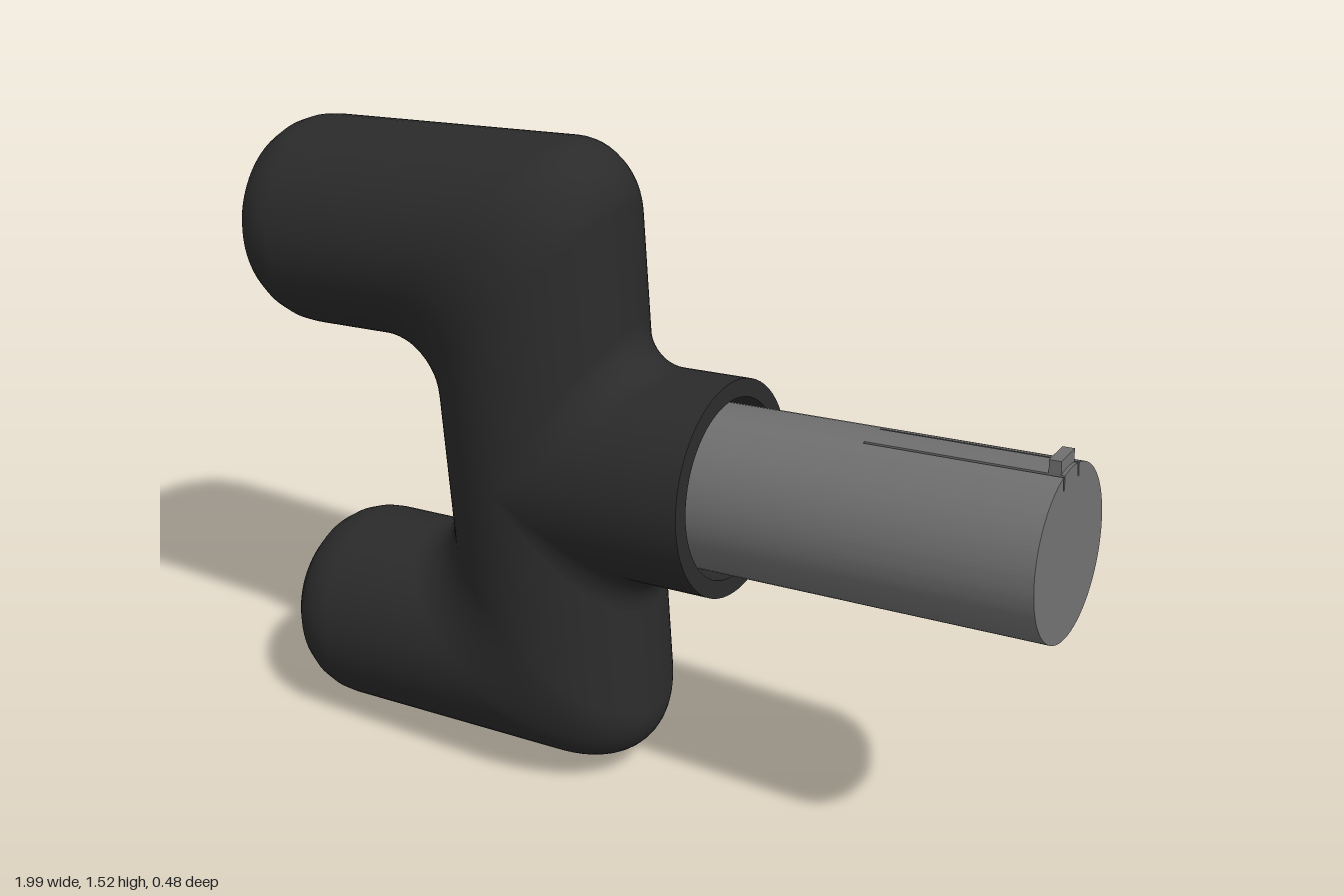
import * as THREE from 'three';

const R = 0.24;        // handle tube radius
const ARM = 0.495;     // arm offset from the shaft axis
const TILT = 0.075;    // lean of the whole tool
const SEG = 64;

// Skin a list of rings (each SEG points [x, y, z]) with smooth normals.
function loft(rings) {
  const index = [];
  for (let i = 0; i < rings.length - 1; i++) {
    for (let j = 0; j < SEG; j++) {
      const k = (j + 1) % SEG;
      const a = i * SEG + j, b = i * SEG + k, c = a + SEG, d = b + SEG;
      index.push(a, b, c, b, d, c);
    }
  }
  const geo = new THREE.BufferGeometry();
  geo.setAttribute('position', new THREE.Float32BufferAttribute(rings.flat(2), 3));
  geo.setIndex(index);
  geo.computeVertexNormals();
  return geo;
}

const makeRing = (f) => Array.from({ length: SEG }, (_, j) => {
  const t = (j / SEG) * Math.PI * 2;
  return f(Math.cos(t), Math.sin(t));
});

// Bracket-shaped grip: rings span an inner and an outer profile point.
function gripGeometry() {
  const half = []; // [innerX, innerY, outerX, outerY, depth radius]
  const cap = [[0, 0], [0.004, 0.06], [0.013, 0.11], [0.026, 0.15], [0.045, 0.182],
    [0.07, 0.208], [0.1, 0.226], [0.135, 0.237], [0.17, R]];
  for (const [d, r] of cap) half.push([-0.727 + d, ARM - r, -0.727 + d, ARM + r, r]);
  const f = 0.14, n = 12;
  for (let i = 0; i <= n; i++) {
    const a = Math.PI / 2 * (1 - i / n);
    const dx = f * (Math.cos(a) - 1), dy = f * (Math.sin(a) - 1);
    half.push([-R + dx, ARM - R + dy, R + dx, ARM + R + dy, R]);
  }
  const mirrored = half.map(([ix, iy, ox, oy, r]) => [ix, -iy, ox, -oy, r]).reverse();
  return loft([...half, ...mirrored].map(([ix, iy, ox, oy, r]) => makeRing((c, s) => [
    (ix + ox) / 2 + c * (ox - ix) / 2, (iy + oy) / 2 + c * (oy - iy) / 2, s * r])));
}

// Socket: fillet out of the grip, straight collar, flat rim and recess.
function collarGeometry() {
  const rings = [];
  const f = 0.09, n = 10;
  for (let i = 0; i <= n; i++) {
    const a = (i / n) * Math.PI / 2;
    rings.push(makeRing((c, s) => [
      Math.abs(c) * (R + f * (1 - Math.cos(a))), c * (R + f * (1 - Math.sin(a))), s * R]));
  }
  // repeated rings keep the rim edges sharp
  const lip = [[0.35, R], [0.47, R], [0.47, R], [0.47, 0.2], [0.47, 0.2],
    [0.37, 0.2], [0.37, 0.2], [0.37, 0.17]];
  for (const [x, r] of lip) rings.push(makeRing((c, s) => [x, c * r, s * r]));
  return loft(rings);
}

// Round bar with two fine slots either side of the top.
function slottedBar(radius, length) {
  const shape = new THREE.Shape();
  const slot = 0.035, w = 0.006, depth = 0.03;
  const top = (x) => Math.sqrt(radius * radius - x * x);
  const a0 = Math.acos((slot + w) / radius);
  shape.absarc(0, 0, radius, Math.PI - a0, Math.PI * 2 + a0, false);
  shape.lineTo(slot + w, top(slot) - depth);
  shape.lineTo(slot, top(slot) - depth);
  for (let i = 0; i <= 6; i++) {
    const x = slot - (i / 6) * 2 * slot;
    shape.lineTo(x, top(x));
  }
  shape.lineTo(-slot, top(slot) - depth);
  shape.lineTo(-slot - w, top(slot) - depth);
  shape.closePath();
  const geo = new THREE.ExtrudeGeometry(shape, { depth: length, bevelEnabled: false, curveSegments: 64 });
  return geo.rotateY(Math.PI / 2);
}

export function createModel() {
  const model = new THREE.Group();
  model.name = 'handle';
  const tool = new THREE.Group();
  tool.name = 'tiltedBody';
  tool.position.set(-0.235, 0.78, 0);
  tool.rotation.z = TILT;
  model.add(tool);

  const dark = new THREE.MeshStandardMaterial({ color: 0x2b2b2b });
  const grey = new THREE.MeshStandardMaterial({ color: 0x707070 });
  const add = (name, geo, mat, x = 0, y = 0) => {
    const mesh = new THREE.Mesh(geo, mat);
    mesh.name = name;
    mesh.position.set(x, y, 0);
    tool.add(mesh);
  };

  add('grip', gripGeometry(), dark);
  add('collar', collarGeometry(), dark);

  // Shaft: plain root, slotted tip with a small catch on top
  const r = 0.183;
  add('shaftRoot', new THREE.CylinderGeometry(r, r, 0.5, 64).rotateZ(-Math.PI / 2), grey, 0.55);
  add('shaftTip', slottedBar(r, 0.42), grey, 0.8);
  add('catch', new THREE.BoxGeometry(0.025, 0.05, 0.07), grey, 1.2, r);
  return model;
}
